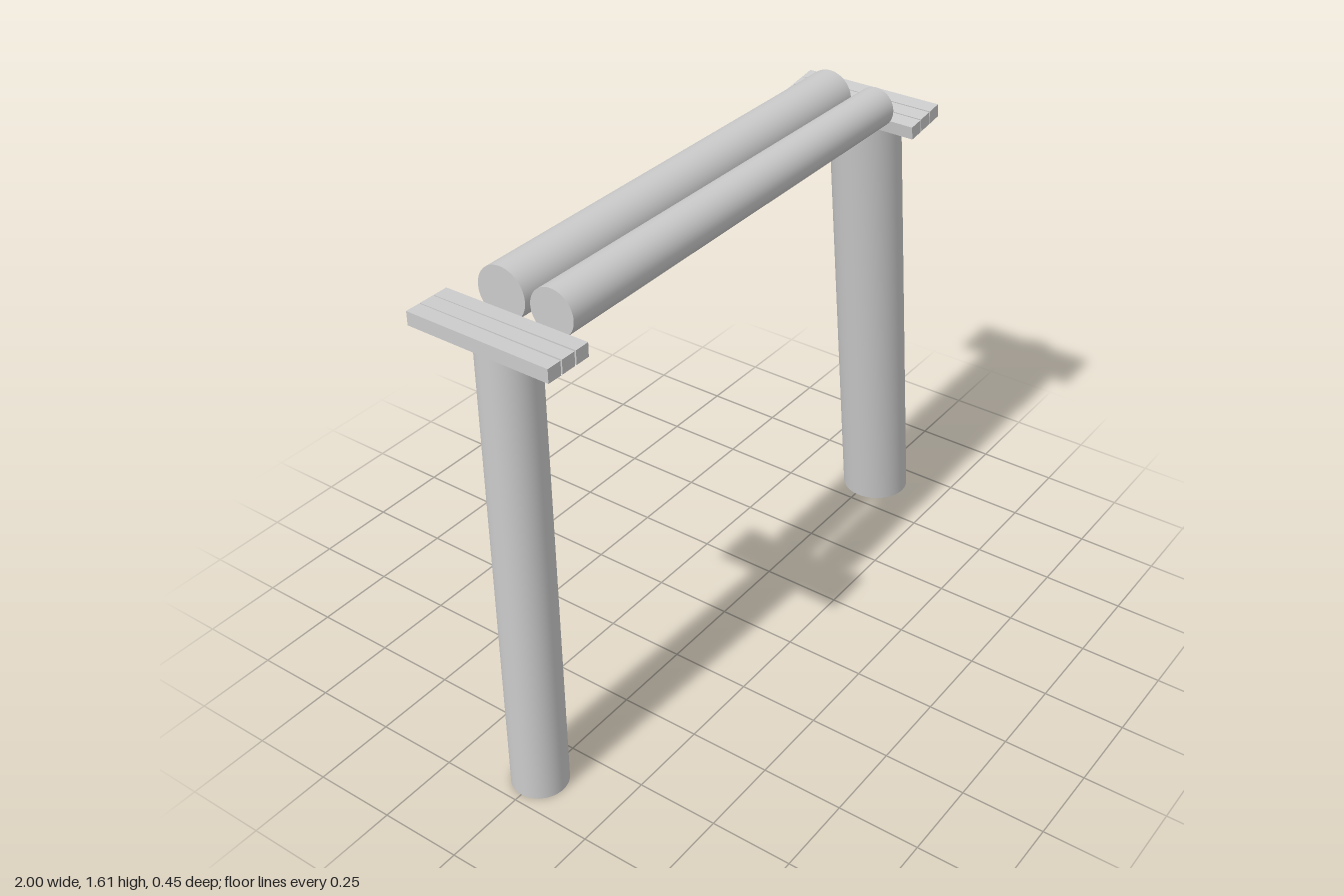
import * as THREE from 'three';

const material = new THREE.MeshStandardMaterial({ color: 0xcccccc });

function addMesh(parent, name, geometry, x = 0, y = 0, z = 0) {
  const mesh = new THREE.Mesh(geometry, material);
  mesh.name = name;
  mesh.position.set(x, y, z);
  parent.add(mesh);
  return mesh;
}

// Log running along x, with its own radius at each end
function addBeam(parent, name, leftRadius, rightRadius, z) {
  const geometry = new THREE.CylinderGeometry(leftRadius, rightRadius, 1.45, 48);
  geometry.rotateZ(Math.PI / 2);
  addMesh(parent, name, geometry, -0.115, 1.53, z);
}

// Row of three short planks laid across the top of a post
function addPlanks(parent, name, x, y, pitch, width, tilt) {
  const row = new THREE.Group();
  row.name = name;
  row.position.set(x, y, 0);
  row.rotation.z = tilt;
  for (let i = -1; i <= 1; i++) {
    const plank = addMesh(row, 'plank', new THREE.BoxGeometry(width, 0.04, 0.445), i * pitch);
    plank.rotation.y = i * 0.006;
  }
  parent.add(row);
}

// Leaning post: the foot is cut level, the top is square to the axis
function leaningPostGeometry(foot, top, radius) {
  const geometry = new THREE.CylinderGeometry(radius, radius, 1, 64);
  const p = geometry.attributes.position;
  const lean = Math.atan2(foot.x - top.x, top.y - foot.y);
  for (let i = 0; i < p.count; i++) {
    const x = p.getX(i);
    if (p.getY(i) > 0) {
      p.setXY(i, top.x + x * Math.cos(lean), top.y + x * Math.sin(lean));
    } else {
      p.setXY(i, foot.x + x / Math.cos(lean), foot.y);
    }
  }
  geometry.computeVertexNormals();
  return geometry;
}

export function createModel() {
  const model = new THREE.Group();
  model.name = 'logGate';

  // Posts
  addMesh(model, 'uprightPost', new THREE.CylinderGeometry(0.083, 0.083, 1.46, 64), -0.892, 0.73, 0);
  const foot = new THREE.Vector2(0.887, 0);
  const top = new THREE.Vector2(0.701, 1.471);
  addMesh(model, 'leaningPost', leaningPostGeometry(foot, top, 0.108), 0, 0, 0.012);

  // Planks on the post tops
  addPlanks(model, 'uprightPostPlanks', -0.928, 1.48, 0.049, 0.045, 0);
  addPlanks(model, 'leaningPostPlanks', 0.694, 1.484, 0.049, 0.046, 0.14);

  // Pair of crossing logs
  addBeam(model, 'backBeam', 0.075, 0.075, -0.057);
  addBeam(model, 'frontBeam', 0.067, 0.061, 0.101);

  return model;
}
